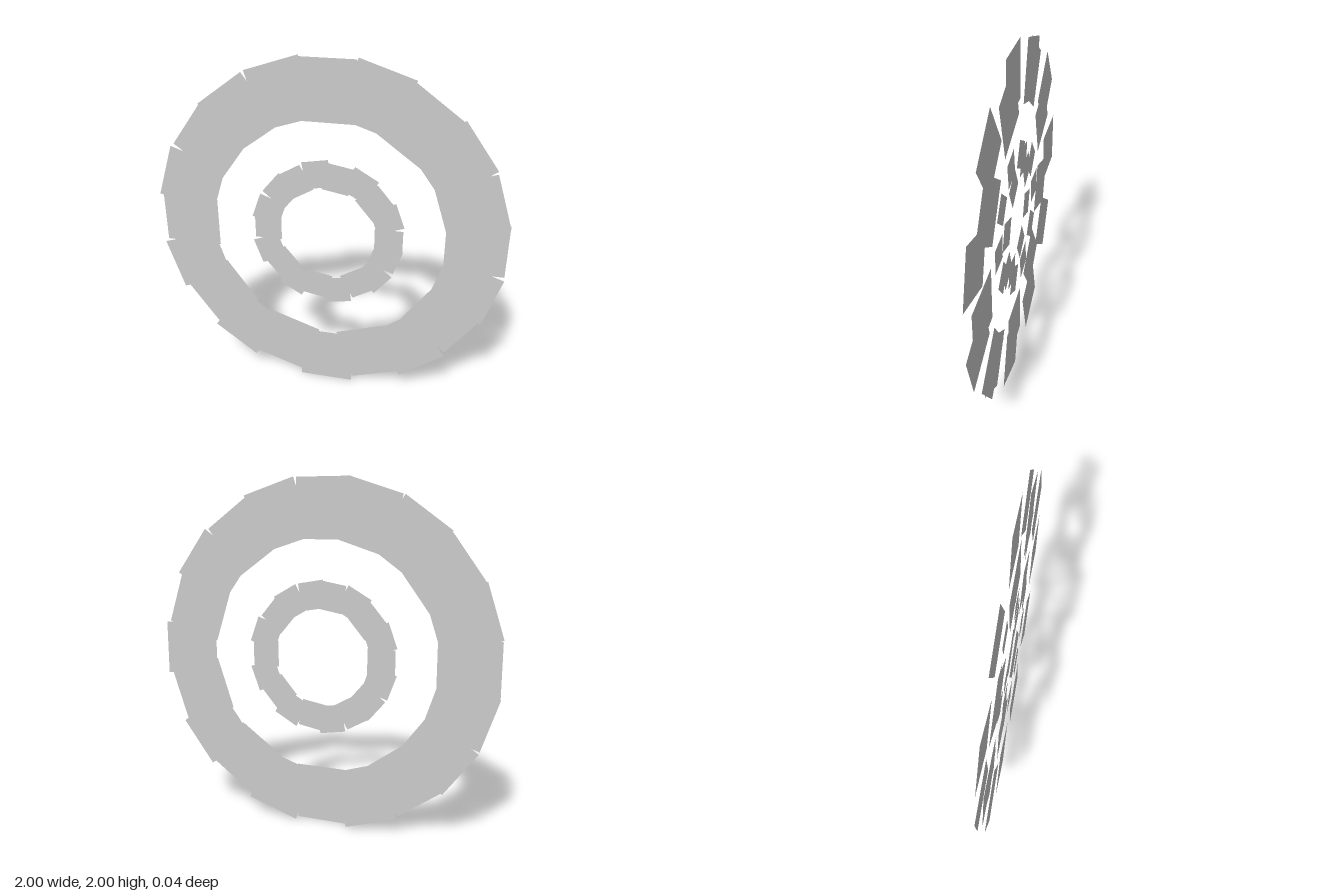
import * as THREE from 'three';

const material = new THREE.MeshStandardMaterial({
  color: 0xcccccc, flatShading: true, side: THREE.DoubleSide,
});
const LAYER = 0.02; // plates alternate between z = +LAYER and z = -LAYER

// Ring of flat rectangular plates, every second one lying in the front layer
function plateRing(name, count, inner, outer, frontParity) {
  const ring = new THREE.Group();
  ring.name = name;
  const step = (Math.PI * 2) / count;
  const width = 2 * outer * Math.tan(step / 2); // outer corners of neighbours meet
  const plate = new THREE.PlaneGeometry(outer - inner, width);
  plate.translate((inner + outer) / 2, 0, 0);
  for (let k = 0; k < count; k++) {
    const mesh = new THREE.Mesh(plate, material);
    mesh.name = name + 'Plate';
    mesh.rotation.z = k * step;
    mesh.position.z = k % 2 === frontParity ? LAYER : -LAYER;
    ring.add(mesh);
  }
  ring.position.y = 1;
  return ring;
}

export function createModel() {
  const model = new THREE.Group();
  model.name = 'plateRings';
  model.add(plateRing('outerRing', 20, 0.663, 1, 1));
  model.add(plateRing('innerRing', 18, 0.276, 0.435, 0));
  return model;
}
